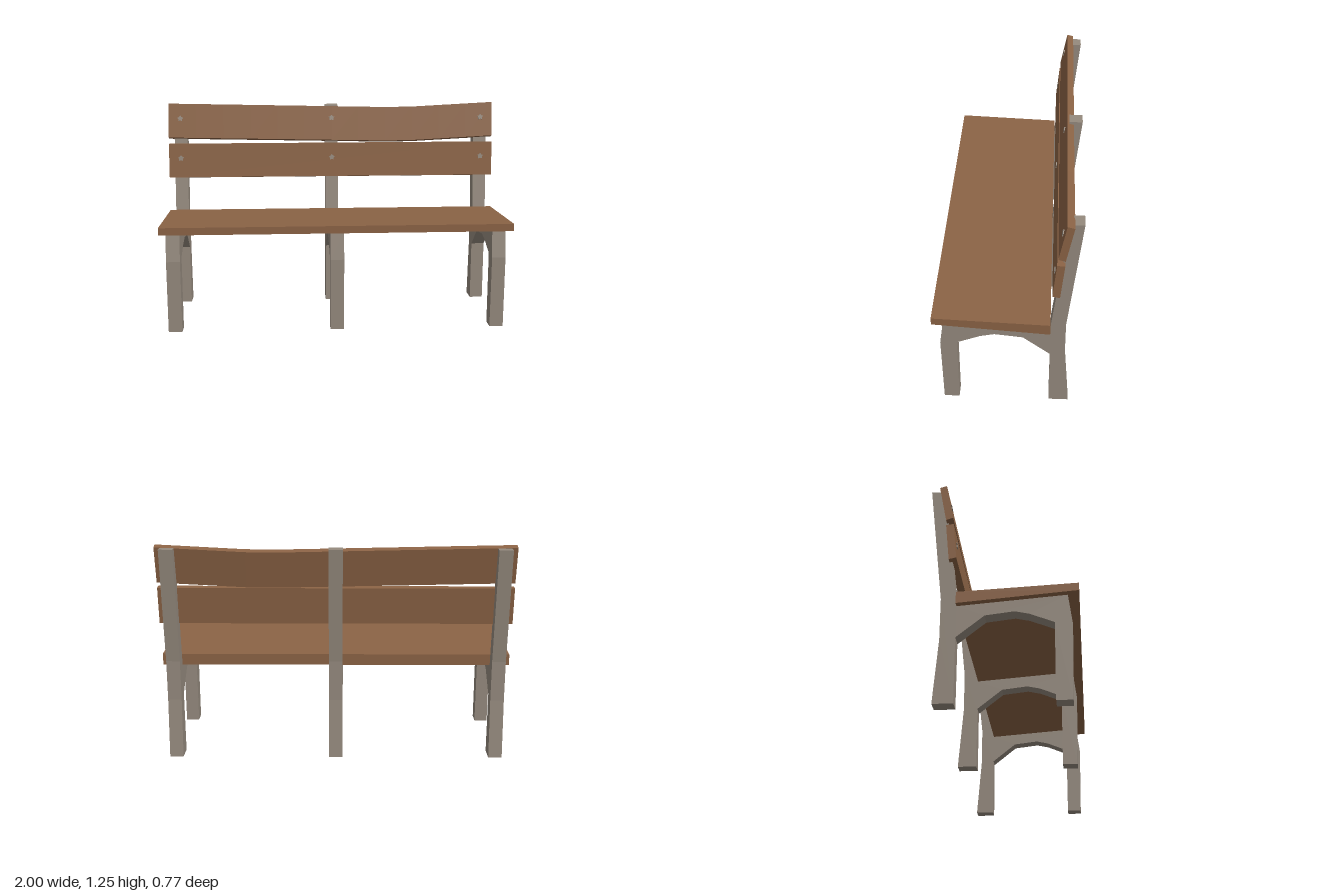
import * as THREE from 'three';

const stone = new THREE.MeshStandardMaterial({ color: 0x958a7e });
stone.name = 'stone grey';
const wood = new THREE.MeshStandardMaterial({ color: 0x8b6345 });
wood.name = 'brown wood';

// Extrudes a side profile of [z, y] points along x, centred on x = 0
function extrudeX(profile, width, steps = 1) {
  const shape = new THREE.Shape(profile.map(([z, y]) => new THREE.Vector2(z, y)));
  const geo = new THREE.ExtrudeGeometry(shape, { depth: width, steps, bevelEnabled: false });
  geo.translate(0, 0, -width / 2);
  geo.rotateY(-Math.PI / 2);
  return geo;
}

// How far the top slat sags at x, interpolated between kinks
const SAG = [[-1, 0], [0, 0.021], [1 / 3, 0.028], [0.5, 0.026], [1, 0]];
function sag(x) {
  for (let i = 1; i < SAG.length; i++) {
    const [x0, d0] = SAG[i - 1], [x1, d1] = SAG[i];
    if (x <= x1 + 1e-4) return d0 + (d1 - d0) * (x - x0) / (x1 - x0);
  }
  return 0;
}

// Small five-pointed bolt head
function boltGeometry() {
  const shape = new THREE.Shape();
  for (let i = 0; i < 10; i++) {
    const r = i % 2 ? 0.012 : 0.019, a = Math.PI / 2 + i * Math.PI / 5;
    shape[i ? 'lineTo' : 'moveTo'](r * Math.cos(a), r * Math.sin(a));
  }
  return new THREE.ExtrudeGeometry(shape, { depth: 0.005, bevelEnabled: false });
}

export function createModel() {
  const model = new THREE.Group();
  model.name = 'bench';
  const add = (geo, mat, name) => {
    const mesh = new THREE.Mesh(geo, mat);
    mesh.name = name;
    model.add(mesh);
    return mesh;
  };

  // Three supports: front leg, arched brace, rear leg and leaning back post
  const frameGeo = extrudeX([
    [0.343, 0], [0.349, 0.415], [0.328, 0.572], [-0.234, 0.531], [-0.236, 0.575],
    [-0.312, 1.232], [-0.385, 1.232], [-0.315, 0.575], [-0.315, 0.345], [-0.341, 0],
    [-0.235, 0], [-0.235, 0.355], [-0.09, 0.472], [0.06, 0.489], [0.135, 0.472],
    [0.26, 0.42], [0.26, 0],
  ], 0.078);
  const supports = [['rightFrame', -0.928], ['middleFrame', 0], ['leftFrame', 0.928]];
  for (const [name, x] of supports) add(frameGeo, stone, name).position.x = x;

  // Seat board, tilted slightly back
  add(extrudeX([[0.386, 0.578], [0.386, 0.62], [-0.234, 0.595], [-0.234, 0.531]], 2), wood, 'seat');

  // Lower back slat
  add(extrudeX([[-0.238, 0.798], [-0.257, 1.003], [-0.297, 0.999], [-0.277, 0.79]], 2), wood, 'lowerSlat');

  // Upper back slat, warped downwards
  const upper = extrudeX([[-0.261, 1.042], [-0.3, 1.246], [-0.337, 1.236], [-0.298, 1.03]], 2, 12);
  const pos = upper.attributes.position;
  for (let i = 0; i < pos.count; i++) pos.setY(i, pos.getY(i) - sag(pos.getX(i)));
  upper.computeVertexNormals();
  add(upper, wood, 'upperSlat');

  // Bolt heads where the slats meet the posts
  const bolt = boltGeometry();
  const rows = [
    { name: 'lowerBolt', y: 0.915, y0: 0.798, z0: -0.238, slope: 0.019 / 0.205, drop: () => 0 },
    { name: 'upperBolt', y: 1.155, y0: 1.042, z0: -0.261, slope: 0.039 / 0.204, drop: sag },
  ];
  for (const row of rows) {
    for (const [, x] of supports) {
      const mesh = add(bolt, stone, row.name);
      mesh.position.set(x, row.y, row.z0 - row.slope * (row.y + row.drop(x) - row.y0));
      mesh.rotation.x = -Math.atan(row.slope);
    }
  }
  return model;
}
